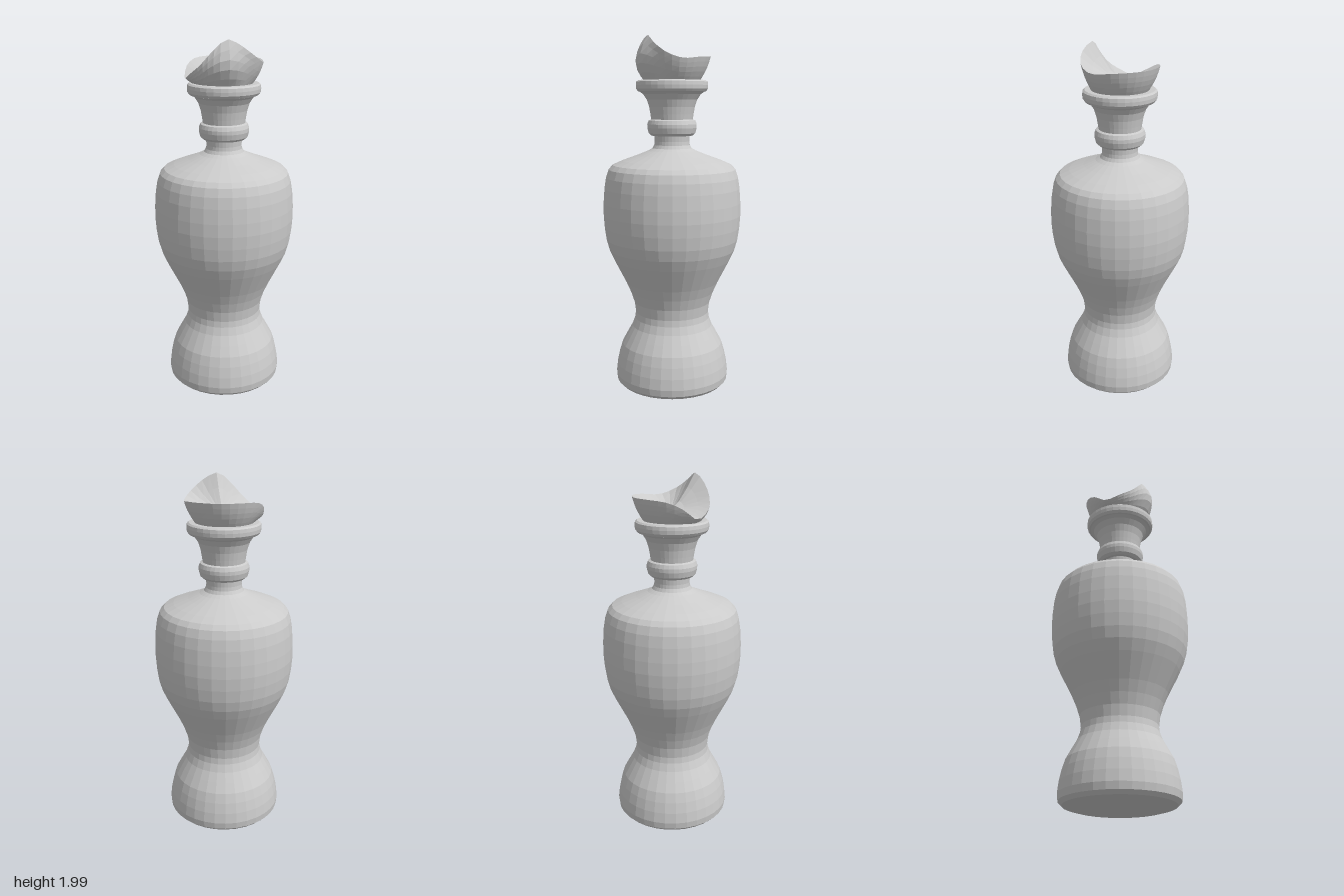
import * as THREE from 'three';

const SIDES = 32;
const material = new THREE.MeshStandardMaterial({ color: 0xcccccc, flatShading: true, side: THREE.DoubleSide });

function turned(name, profile) {
  const points = profile.map(([r, y]) => new THREE.Vector2(r, y));
  const mesh = new THREE.Mesh(new THREE.LatheGeometry(points, SIDES), material);
  mesh.name = name;
  return mesh;
}

// Skin between successive closed rings of equal length
function loft(name, rings) {
  const n = rings[0].length;
  const position = rings.flat().flatMap((p) => [p.x, p.y, p.z]);
  const index = [];
  for (let i = 0; i < rings.length - 1; i++) {
    for (let j = 0; j < n; j++) {
      const a = i * n + j, b = i * n + ((j + 1) % n);
      index.push(a, a + n, b, b, a + n, b + n);
    }
  }
  const geometry = new THREE.BufferGeometry();
  geometry.setAttribute('position', new THREE.Float32BufferAttribute(position, 3));
  geometry.setIndex(index);
  geometry.computeVertexNormals();
  const mesh = new THREE.Mesh(geometry, material);
  mesh.name = name;
  return mesh;
}

// Wavy cup: pouring lip at front left, curled-in crest at front right
function createCup() {
  const group = new THREE.Group();
  group.name = 'cup';
  // angle from +x towards +z, rim radius, rim height
  const rim = [
    [0, 0.212, 1.91], [22, 0.19, 1.965], [45, 0.158, 2.0], [68, 0.178, 1.95], [90, 0.2, 1.87],
    [112, 0.207, 1.82], [135, 0.21, 1.79], [157, 0.21, 1.845], [180, 0.21, 1.88],
    [210, 0.21, 1.89], [240, 0.212, 1.89], [270, 0.213, 1.89], [300, 0.212, 1.885], [335, 0.212, 1.875],
  ].map(([deg, r, y]) => {
    const a = THREE.MathUtils.degToRad(deg);
    return new THREE.Vector3(r * Math.cos(a), y, r * Math.sin(a));
  });
  const edge = new THREE.CatmullRomCurve3(rim, true).getSpacedPoints(SIDES).slice(0, SIDES);

  // Outer wall: bulges most where the crest curls inwards
  const wall = [0, 0.2, 0.4, 0.6, 0.8, 1].map((t) => edge.map((p) => {
    const r = Math.hypot(p.x, p.z);
    const bulge = 0.008 + Math.max(0, 0.208 - r) * 0.95;
    const radius = THREE.MathUtils.lerp(0.15, r, t) + bulge * Math.sin(Math.PI * t);
    return new THREE.Vector3(p.x / r * radius, THREE.MathUtils.lerp(1.755, p.y, t), p.z / r * radius);
  }));
  group.add(loft('cupWall', wall));

  // Shallow inner basin running from the rim to its centre
  const centre = new THREE.Vector3(0, 1.815, -0.008);
  const basin = [1, 0.7, 0.35, 0].map((t) => edge.map((p) => {
    const q = centre.clone().lerp(p, t);
    q.y = centre.y + (p.y - centre.y) * Math.pow(t, 1.4);
    return q;
  }));
  group.add(loft('cupBasin', basin));
  return group;
}

export function createModel() {
  const model = new THREE.Group();
  model.name = 'bottle';

  // Waisted vessel with a flared foot and sloping shoulders
  model.add(turned('body', [
    [0, 0.006], [0.16, 0.008], [0.25, 0.018], [0.3, 0.032], [0.32, 0.052], [0.325, 0.09], [0.318, 0.15],
    [0.305, 0.21], [0.288, 0.265], [0.258, 0.32], [0.23, 0.37], [0.214, 0.415], [0.21, 0.45],
    [0.218, 0.51], [0.238, 0.57], [0.264, 0.63], [0.297, 0.695], [0.33, 0.76], [0.357, 0.82],
    [0.374, 0.88], [0.384, 0.95], [0.389, 1.02], [0.388, 1.09], [0.382, 1.17], [0.372, 1.23],
    [0.356, 1.275], [0.333, 1.3], [0.28, 1.323], [0.2, 1.352], [0.135, 1.378], [0.11, 1.392], [0.1, 1.41],
  ]));

  model.add(turned('lowerNeck', [[0.1, 1.4], [0.097, 1.43], [0.1, 1.47]]));

  model.add(turned('neckBead', [
    [0.09, 1.46], [0.115, 1.462], [0.13, 1.475], [0.138, 1.505], [0.138, 1.525],
    [0.13, 1.546], [0.115, 1.552], [0.09, 1.552],
  ]));

  model.add(turned('upperNeck', [
    [0.115, 1.545], [0.12, 1.58], [0.127, 1.62], [0.14, 1.66], [0.16, 1.69], [0.178, 1.702],
  ]));

  model.add(turned('collar', [
    [0.165, 1.7], [0.188, 1.704], [0.198, 1.718], [0.2, 1.738], [0.198, 1.757], [0.188, 1.765], [0, 1.765],
  ]));

  model.add(createCup());
  return model;
}
